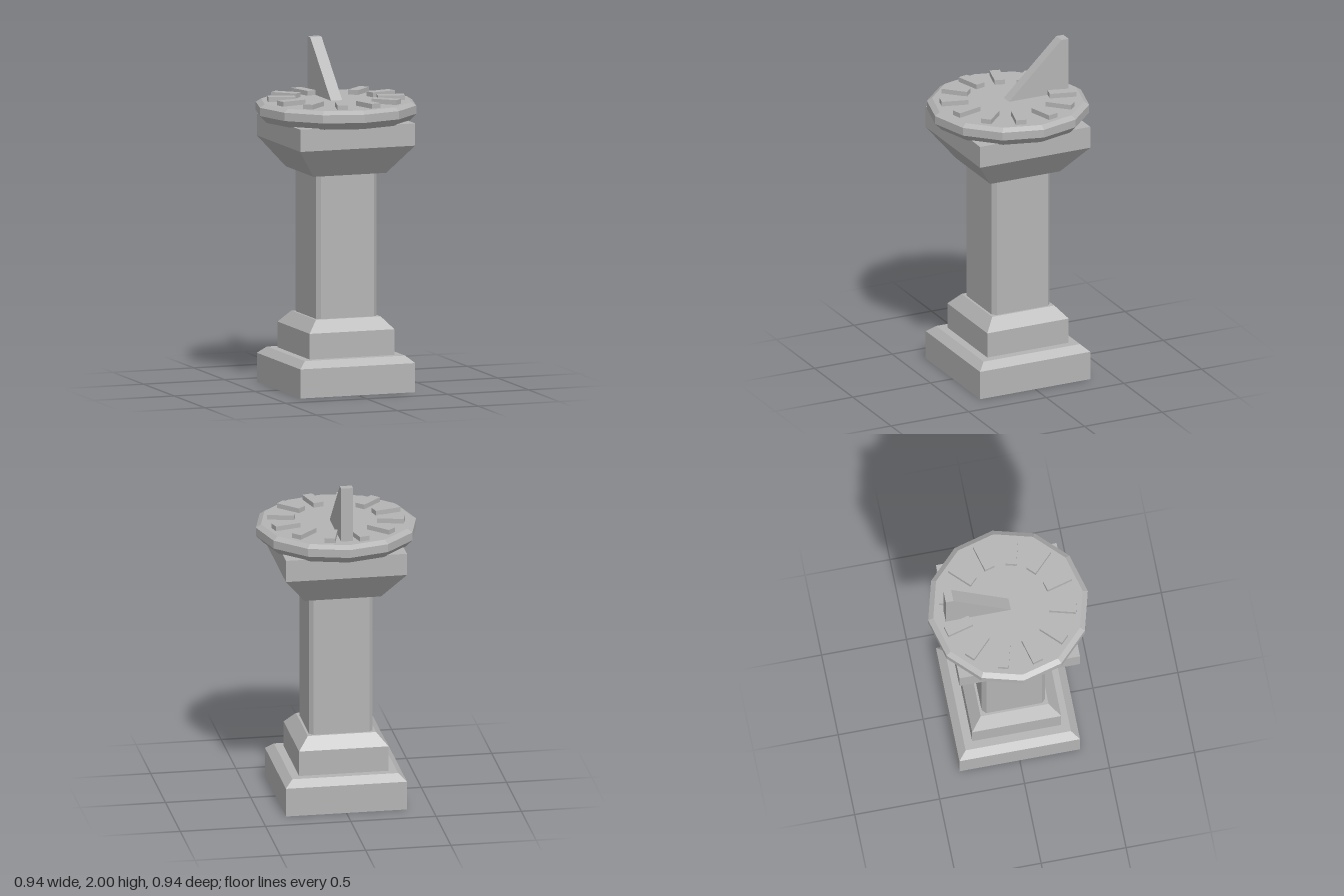
import * as THREE from 'three';

export function createModel() {
  const model = new THREE.Group();
  model.name = 'sundial';
  const stone = new THREE.MeshStandardMaterial({ color: 0xb4b4b4 });
  stone.name = 'grey stone';

  // Adds a mesh with faceted normals
  function add(name, geometry, parent = model) {
    const flat = geometry.index ? geometry.toNonIndexed() : geometry;
    flat.computeVertexNormals();
    const mesh = new THREE.Mesh(flat, stone);
    mesh.name = name;
    parent.add(mesh);
    return mesh;
  }

  // Closed solid from [radius, height] pairs, bottom to top
  function turned(profile, sides, start) {
    const points = [[0, profile[0][1]], ...profile, [0, profile.at(-1)[1]]];
    return new THREE.LatheGeometry(points.map(([r, y]) => new THREE.Vector2(r, y)), sides, start);
  }

  // Square block from [half width, height] pairs
  const square = (profile) =>
    turned(profile.map(([h, y]) => [h * Math.SQRT2, y]), 4, Math.PI / 4);

  // Stepped pedestal
  add('plinth', square([[0.355, 0], [0.355, 0.17], [0.31, 0.21]]));
  add('upperPlinth', square([[0.262, 0.21], [0.262, 0.36], [0.2, 0.43]]));

  // Shaft with bevelled corners
  const h = 0.187, c = 0.164;
  const section = new THREE.Shape([
    [h, -c], [h, c], [c, h], [-c, h], [-h, c], [-h, -c], [-c, -h], [c, -h],
  ].map(([x, y]) => new THREE.Vector2(x, y)));
  const shaft = new THREE.ExtrudeGeometry(section, { depth: 0.84, bevelEnabled: false });
  add('shaft', shaft.rotateX(-Math.PI / 2).translate(0, 0.43, 0));

  add('capital', square([[0.225, 1.27], [0.355, 1.44], [0.355, 1.57]]));

  // Twelve-sided dial plate with bevelled rims
  add('dialPlate', turned([[0.43, 1.565], [0.47, 1.607], [0.47, 1.655], [0.44, 1.675]], 12, 0));

  // Hour markers around the dial
  const markers = new THREE.Group();
  markers.name = 'hourMarkers';
  model.add(markers);
  for (let i = 0; i < 12; i++) {
    const marker = new THREE.BoxGeometry(0.157, 0.033, 0.062);
    marker.translate(0.318, 1.6865, 0).rotateY((i + 0.5) * Math.PI / 6);
    add('hourMarker', marker, markers);
  }

  // Sloping gnomon: drawn in the side plane, then turned so its tall end is at the back
  const blade = new THREE.Shape([
    [-0.015, 1.67], [0.373, 1.67], [0.373, 2], [0.328, 2],
  ].map(([x, y]) => new THREE.Vector2(x, y)));
  const gnomon = new THREE.ExtrudeGeometry(blade, { depth: 0.07, bevelEnabled: false });
  add('gnomon', gnomon.translate(0, 0, -0.035).rotateY(Math.PI / 2));

  return model;
}
